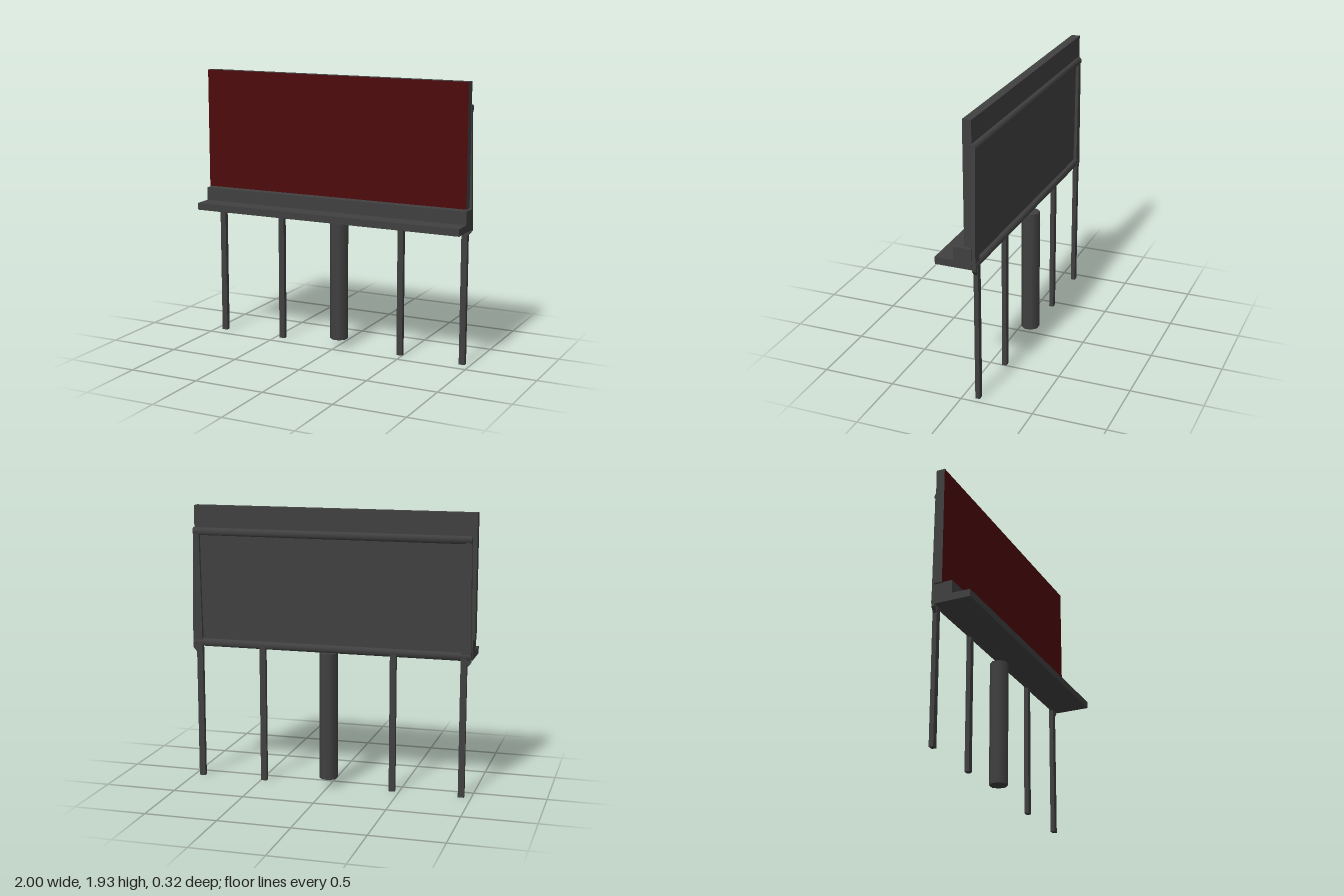
import * as THREE from 'three';
import { toCreasedNormals } from 'three/addons/utils/BufferGeometryUtils.js';

const grey = new THREE.MeshStandardMaterial({ color: 0x404040 });
const red = new THREE.MeshStandardMaterial({ color: 0x4e0a0c });

export function createModel() {
  const model = new THREE.Group();

  const add = (name, geometry, material = grey) => {
    const mesh = new THREE.Mesh(geometry, material);
    mesh.name = name;
    model.add(mesh);
    return mesh;
  };

  // Box given by its limits on each axis
  const box = (name, [x0, x1], [y0, y1], [z0, z1], material) => {
    const mesh = add(name, new THREE.BoxGeometry(x1 - x0, y1 - y0, z1 - z0), material);
    mesh.position.set((x0 + x1) / 2, (y0 + y1) / 2, (z0 + z1) / 2);
  };

  // Prism from an outline, extruded along z
  const prism = (points, depth) => {
    const outline = new THREE.Shape(points.map(([x, y]) => new THREE.Vector2(x, y)));
    return new THREE.ExtrudeGeometry(outline, { depth, bevelEnabled: false });
  };

  // Display board with a coloured front face
  box('board', [-1, 0.973], [1.085, 1.93], [-0.09, -0.03], [grey, grey, grey, grey, red, grey]);

  // Stepped walkway below the board
  box('fascia', [-0.985, 0.998], [0.995, 1.09], [-0.088, 0.035]);
  box('ledge', [-0.985, 0.998], [0.948, 0.998], [-0.088, 0.163]);

  // Horizontal beams on the back, rounded on their rear side
  const beam = (name, x0, x1, y) => {
    const h = 0.026, d = 0.016;
    const section = [[-d, -h], [0.004, -h], [d, -h / 2], [d, h / 2], [0.004, h], [-d, h]];
    const geometry = prism(section, x1 - x0).rotateY(Math.PI / 2);
    add(name, toCreasedNormals(geometry, 1.2)).position.set(x0, y, -0.1);
  };
  beam('upperBeam', -0.97, 0.977, 1.752);
  beam('lowerBeam', -0.975, 0.988, 0.972);

  // Frame uprights, leaning outward toward the bottom, with a neck onto the posts
  for (const [name, side, top, bottom, post] of [
    ['leftUpright', 1, 0.954, 0.971, 0.941],
    ['rightUpright', -1, -0.948, -0.96, -0.931],
  ]) {
    const w = 0.02 * side;
    const outline = [
      [top - w, 1.76], [post - w, 0.9], [post + w, 0.9],
      [bottom + w, 0.935], [bottom + w, 0.99], [top + w, 1.76],
    ];
    add(name, prism(outline, 0.024)).position.z = -0.112;
  }

  // Slim posts down to the ground, their heads lapping the lower beam
  for (const x of [-0.931, -0.449, 0.478, 0.941]) {
    box('post', [x - 0.021, x + 0.021], [0, 0.965], [-0.117, -0.086]);
  }

  // Thick eight-sided centre column
  const column = add('centreColumn', new THREE.CylinderGeometry(0.064, 0.064, 0.89, 8));
  column.rotation.y = Math.PI / 8;
  column.position.set(0.005, 0.503, -0.102);

  return model;
}
